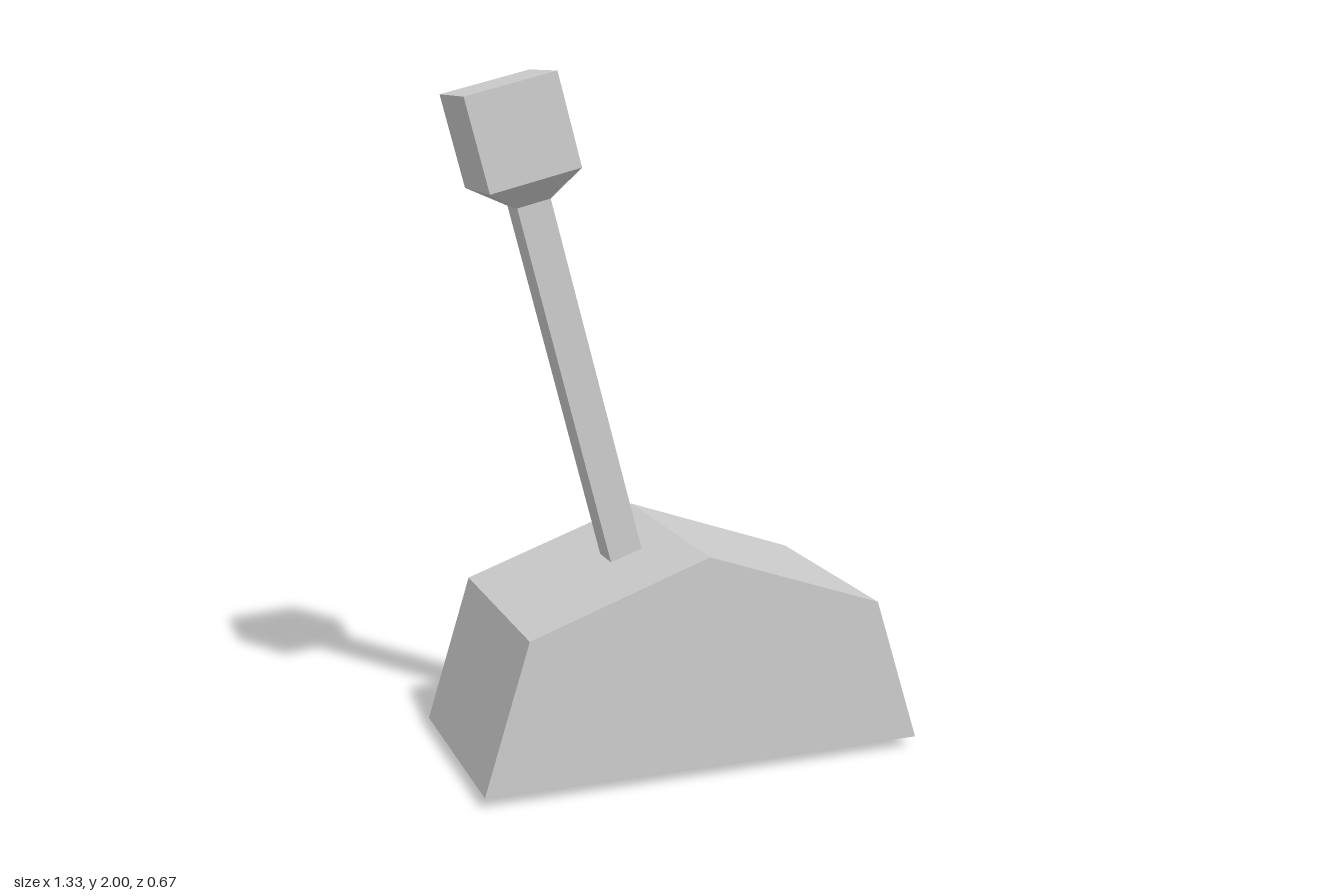
import * as THREE from 'three';

const grey = new THREE.MeshStandardMaterial({ color: 0xcccccc });
grey.name = 'grey';
const greyShell = new THREE.MeshStandardMaterial({ color: 0xcccccc, side: THREE.DoubleSide });
greyShell.name = 'grey shell';

function part(name, geometry, material = grey) {
  const flat = geometry.index ? geometry.toNonIndexed() : geometry;
  flat.computeVertexNormals();
  const mesh = new THREE.Mesh(flat, material);
  mesh.name = name;
  return mesh;
}

// Square bar or frustum standing on y = bottom
function squareBar(halfTop, halfBottom, bottom, top, open = false) {
  const g = new THREE.CylinderGeometry(halfTop * Math.SQRT2, halfBottom * Math.SQRT2, top - bottom, 4, 1, open);
  return g.rotateY(Math.PI / 4).translate(0, (top + bottom) / 2, 0);
}

// Hollow housing: two end plates and the walls between them, open underneath
function createHousing() {
  const halfDepth = 0.333;
  const profile = [[0.665, 0.033], [0.53, 0.468], [0, 0.655], [-0.53, 0.468], [-0.665, 0.033]];
  const housing = new THREE.Group();
  housing.name = 'housing';

  const shape = new THREE.Shape(profile.map(([x, y]) => new THREE.Vector2(x, y)));
  const front = part('frontPlate', new THREE.ShapeGeometry(shape).translate(0, 0, halfDepth), greyShell);
  const back = part('backPlate', new THREE.ShapeGeometry(shape).rotateY(Math.PI).translate(0, 0, -halfDepth), greyShell);

  const corners = [];
  for (let i = 0; i < profile.length - 1; i++) {
    const [ax, ay] = profile[i];
    const [bx, by] = profile[i + 1];
    const d = halfDepth;
    corners.push(ax, ay, d, ax, ay, -d, bx, by, -d, ax, ay, d, bx, by, -d, bx, by, d);
  }
  const walls = new THREE.BufferGeometry();
  walls.setAttribute('position', new THREE.Float32BufferAttribute(corners, 3));
  housing.add(front, back, part('housingWalls', walls, greyShell));
  return housing;
}

export function createModel() {
  const model = new THREE.Group();
  model.name = 'lever';
  model.add(createHousing());

  // Tilted handle: rod, tapered collar and cubic knob
  const handle = new THREE.Group();
  handle.name = 'handle';
  handle.add(
    part('rod', squareBar(0.05, 0.05, 0, 1.677)),
    part('collar', squareBar(0.135, 0.05, 1.677, 1.747, true)),
    part('knob', squareBar(0.135, 0.135, 1.747, 2.017)),
  );
  handle.position.set(0, 0.0125, 0);
  handle.rotation.z = THREE.MathUtils.degToRad(14.4);
  model.add(handle);
  return model;
}
